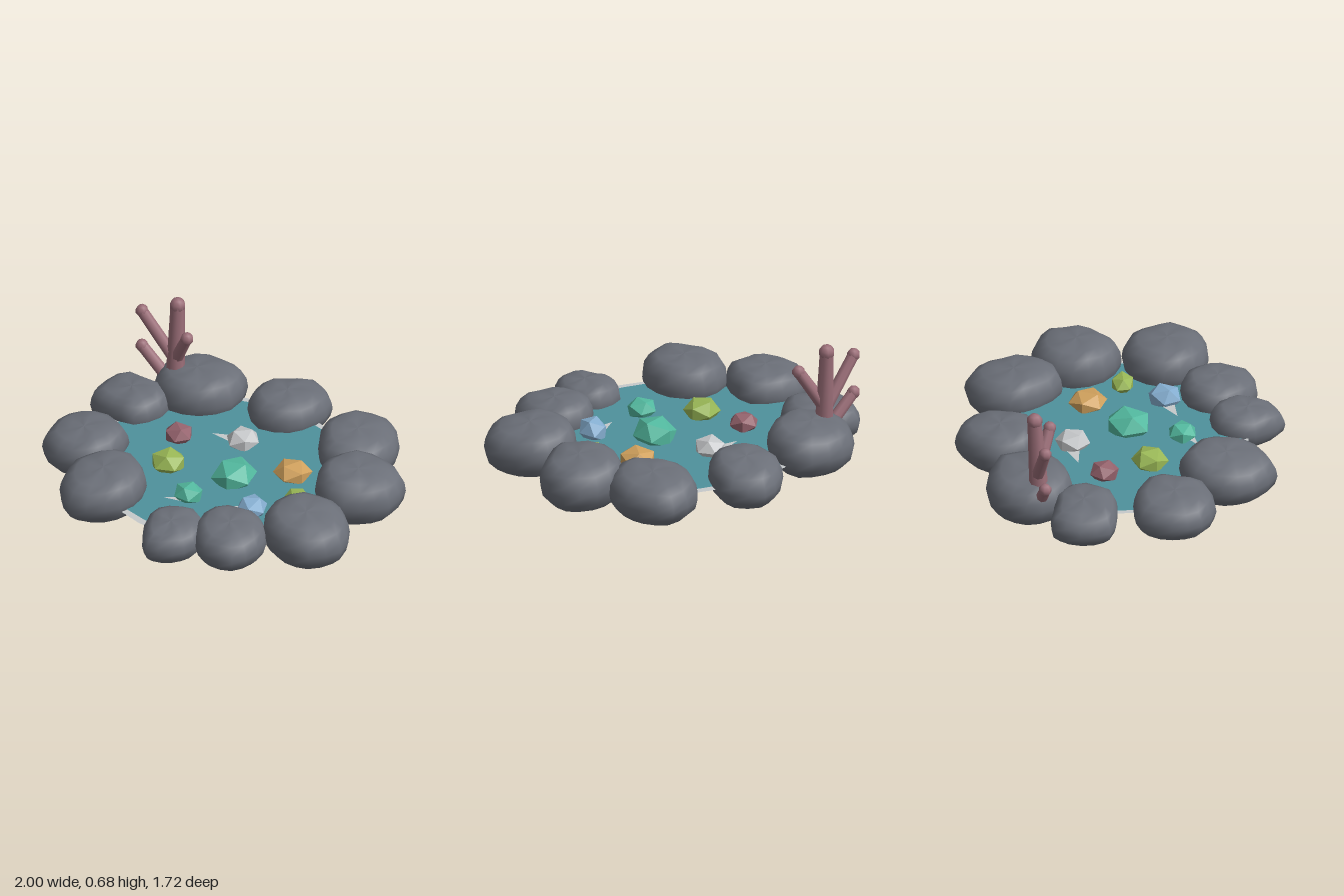
import * as THREE from 'three';

const mat = (name, color, extra = {}) => {
  const m = new THREE.MeshStandardMaterial({ color, ...extra });
  m.name = name;
  return m;
};

export function createModel() {
  const group = new THREE.Group();
  const flat = { flatShading: true };
  const stone = mat('stone grey', 0x6b6f78);
  const water = mat('water teal', 0x4f919c, { side: THREE.DoubleSide });
  const foam = mat('pale foam', 0xc6cacb, { side: THREE.DoubleSide });
  const coralMat = mat('coral pink', 0x9c6f79);
  const gemMats = {
    mint: mat('mint', 0x52b89e, flat),
    lime: mat('lime', 0x98b655, flat),
    amber: mat('amber', 0xcfa05c, flat),
    blue: mat('pale blue', 0x85aed0, flat),
    rose: mat('rose', 0x94626c, flat),
    white: mat('white', 0xc6c8ca, flat),
  };
  const add = (name, geometry, material, parent = group) => {
    const mesh = new THREE.Mesh(geometry, material);
    mesh.name = name;
    parent.add(mesh);
    return mesh;
  };

  // Water sheet with a thin foam rim
  const waterY = 0.12;
  add('water', new THREE.CircleGeometry(1, 32).rotateX(-Math.PI / 2).scale(0.725, 1, 0.635)
    .translate(0, waterY, 0), water);
  add('foamRim', new THREE.RingGeometry(0.97, 1.035, 24).rotateX(-Math.PI / 2).scale(0.725, 1, 0.65)
    .translate(0, waterY - 0.004, 0), foam);

  // Boulders: a plan outline swept through a rounded side profile [scale, height]
  const profile = [[0, 0], [0.45, 0.02], [0.75, 0.1], [0.95, 0.3], [1, 0.5],
    [0.97, 0.68], [0.86, 0.86], [0.66, 0.96], [0.35, 0.99], [0, 1]];
  const sides = 16;
  const boulderGeometry = (x, z, height, radii) => {
    const corners = radii.map((r, k) => {
      const a = k * Math.PI / 4;
      return new THREE.Vector3(Math.cos(a) * r * 0.01, 0, Math.sin(a) * r * 0.01);
    });
    const outline = new THREE.CatmullRomCurve3(corners, true, 'catmullrom', 0.45);
    const pos = [], index = [];
    const d = Math.hypot(x, z);
    profile.forEach(([s, h], i) => {
      for (let j = 0; j < sides; j++) {
        const p = outline.getPoint(j / sides).multiplyScalar(s);
        // tops rise slightly towards the pool, with a gentle ripple
        const tilt = -(p.x * x + p.z * z) / d * 0.08 * h;
        const ripple = 0.008 * s * Math.sin(j * 1.9 + x * 20 + i);
        pos.push(x + p.x, 0.012 + h * (height - 0.012) + tilt + ripple * h, z + p.z);
        if (i < profile.length - 1) {
          const a = i * sides + j, b = i * sides + (j + 1) % sides;
          const c = a + sides, e = b + sides;
          if (i > 0) index.push(a, c, b);
          if (i < profile.length - 2) index.push(b, c, e);
          else if (i === 0) index.push(b, c, e);
        }
      }
    });
    const g = new THREE.BufferGeometry();
    g.setAttribute('position', new THREE.Float32BufferAttribute(pos, 3));
    g.setIndex(index);
    g.computeVertexNormals();
    return g;
  };
  // x, z, height, radii in hundredths every 45 degrees from +x towards +z
  const boulders = [
    [-0.13, -0.63, 0.26, [20, 21, 23, 21, 20, 20, 24, 24]],
    [0.40, -0.60, 0.27, [22, 25, 26, 21, 23, 25, 26, 22]],
    [0.685, -0.29, 0.295, [22, 20, 24, 23, 24, 25, 24, 25]],
    [0.745, 0.185, 0.285, [25, 24, 22, 23, 25, 25, 24, 23]],
    [0.465, 0.475, 0.24, [20, 22, 21, 19, 21, 21, 20, 20]],
    [0.205, 0.65, 0.215, [17, 17, 20, 15, 17, 20, 20, 19]],
    [-0.34, 0.58, 0.275, [22, 23, 27, 23, 22, 24, 25, 23]],
    [-0.70, 0.335, 0.25, [21, 22, 22, 22, 21, 24, 22, 24]],
    [-0.79, -0.14, 0.23, [21, 21, 18, 22, 21, 22, 16, 21]],
    [-0.60, -0.44, 0.285, [25, 23, 23, 23, 23, 23, 23, 27]],
  ];
  boulders.forEach((b, i) => add(`boulder${i + 1}`, boulderGeometry(...b), stone));

  // Faceted gems sitting in the water: colour, x, z, half sizes x, y, z, turn
  const gems = [
    ['mint', 0.09, 0.03, 0.12, 0.09, 0.13, 0.4],
    ['white', -0.10, -0.25, 0.09, 0.065, 0.095, 0.9],
    ['amber', 0.30, -0.20, 0.105, 0.06, 0.105, 1.3],
    ['lime', 0.49, -0.03, 0.085, 0.055, 0.065, 0.2],
    ['lime', -0.25, 0.17, 0.10, 0.07, 0.10, 2.1],
    ['mint', 0.03, 0.32, 0.085, 0.06, 0.08, 1.7],
    ['blue', 0.37, 0.20, 0.08, 0.075, 0.095, 0.6],
    ['rose', -0.385, -0.06, 0.082, 0.06, 0.082, 2.6],
  ];
  for (const [tone, x, z, sx, sy, sz, turn] of gems) {
    add(`${tone}Gem`, new THREE.IcosahedronGeometry(1, 0).rotateY(turn).scale(sx, sy, sz)
      .translate(x, waterY + 0.025, z), gemMats[tone]);
  }

  // Pale glints trailing from three gems, tip then two base corners (x, z)
  const glints = [
    [[-0.28, -0.205], [-0.13, -0.21], [-0.13, -0.30]],
    [[0.22, 0.28], [0.36, 0.25], [0.34, 0.16]],
    [[-0.06, 0.415], [0.03, 0.38], [0.01, 0.34]],
  ];
  for (const tri of glints) {
    const g = new THREE.BufferGeometry().setFromPoints(
      tri.map(([x, z]) => new THREE.Vector3(x, waterY + 0.005, z)));
    g.setIndex([0, 1, 2]);
    g.computeVertexNormals();
    if (g.attributes.normal.getY(0) < 0) {
      g.setIndex([0, 2, 1]);
      g.computeVertexNormals();
    }
    add('waterGlint', g, foam);
  }

  // Branching coral: tapered limbs with knobbed tips
  const coral = new THREE.Group();
  coral.name = 'coral';
  group.add(coral);
  const limb = (name, from, to, r0, r1) => {
    const a = new THREE.Vector3(...from), b = new THREE.Vector3(...to);
    const dir = b.clone().sub(a);
    const stem = add(name, new THREE.CylinderGeometry(r1, r0, dir.length(), 8), coralMat, coral);
    stem.position.copy(a).add(b).multiplyScalar(0.5);
    stem.quaternion.setFromUnitVectors(new THREE.Vector3(0, 1, 0), dir.normalize());
    const tip = add(`${name}Tip`, new THREE.SphereGeometry(r1 * 1.15, 7, 5), coralMat, coral);
    tip.position.copy(b);
  };
  limb('coralStem', [-0.70, 0.18, -0.38], [-0.705, 0.645, -0.405], 0.052, 0.038);
  limb('coralBranchRight', [-0.70, 0.30, -0.39], [-0.895, 0.56, -0.335], 0.034, 0.031);
  limb('coralBranchLeft', [-0.70, 0.32, -0.39], [-0.575, 0.525, -0.335], 0.036, 0.031);
  limb('coralBranchLow', [-0.72, 0.17, -0.37], [-0.895, 0.34, -0.335], 0.034, 0.031);

  return group;
}
